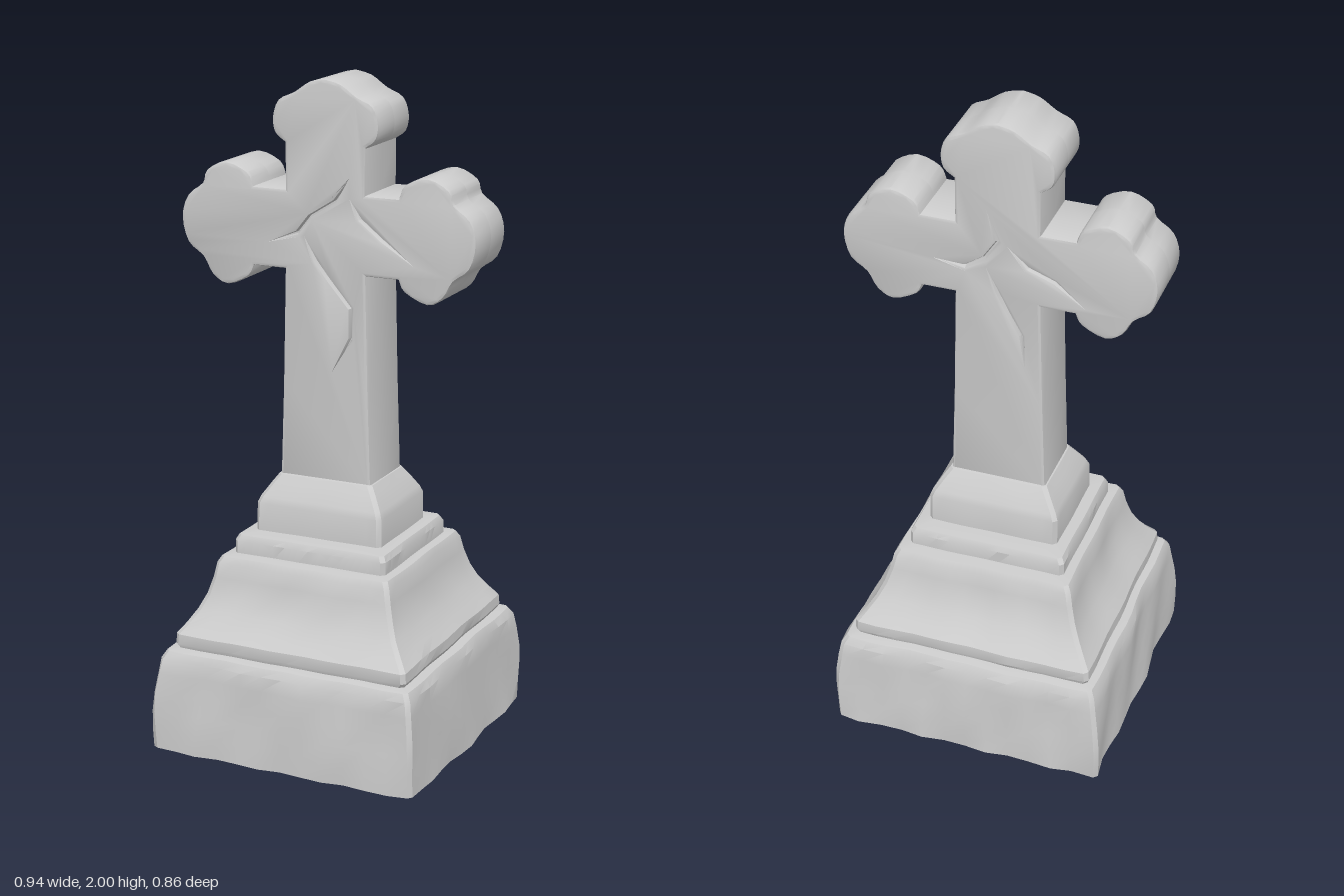
import * as THREE from 'three';
import { mergeVertices, toCreasedNormals } from 'three/addons/utils/BufferGeometryUtils.js';

const stone = new THREE.MeshStandardMaterial({ color: 0xcccccc });

function addMesh(parent, name, geometry, crease = 0.5) {
  const mesh = new THREE.Mesh(toCreasedNormals(geometry, crease), stone);
  mesh.name = name;
  parent.add(mesh);
  return mesh;
}

// Smooth repeatable waviness for hand-cut stone, between -1 and 1
const wave = (x, y, z) =>
  0.5 * Math.sin(13 * x + 9 * y + 1.3 + 2 * z) * Math.cos(11 * z - 7 * y) +
  0.5 * Math.sin(31 * x - 17 * y + 23 * z + 0.7);

// Rectangular ring with chamfered corners, each side split for the waviness
function ring(hx, hz, y, rough) {
  const c = 0.012, n = 12, pts = [];
  const sides = [
    [[-hx + c, hz], [hx - c, hz]], [[hx, hz - c], [hx, -hz + c]],
    [[hx - c, -hz], [-hx + c, -hz]], [[-hx, -hz + c], [-hx, hz - c]],
  ];
  for (const [a, b] of sides) {
    for (let i = 0; i <= n; i++) {
      const x = a[0] + (b[0] - a[0]) * i / n, z = a[1] + (b[1] - a[1]) * i / n;
      const k = 1 + rough * wave(x, y, z) / Math.max(hx, hz);
      pts.push([x * k, y, z * k]);
    }
  }
  return pts;
}

// Skin over a list of [half width, half depth, height, roughness] rings
function loft(profile) {
  const rings = profile.map((p) => ring(...p));
  const n = rings[0].length, pos = rings.flat(2), index = [];
  for (let r = 0; r < rings.length - 1; r++) {
    for (let i = 0; i < n; i++) {
      const a = r * n + i, b = r * n + (i + 1) % n;
      index.push(a, b, b + n, a, b + n, a + n);
    }
  }
  // End caps
  const last = (rings.length - 1) * n, centre = rings.length * n;
  pos.push(0, profile[0][2], 0, 0, profile[profile.length - 1][2], 0);
  for (let i = 0; i < n; i++) {
    const j = (i + 1) % n;
    index.push(centre, j, i, centre + 1, last + i, last + j);
  }
  const g = new THREE.BufferGeometry();
  g.setAttribute('position', new THREE.Float32BufferAttribute(pos, 3));
  g.setIndex(index);
  return mergeVertices(g);
}

// Right half of the cross from foot to apex, mirrored for the left
function crossShape(cracks) {
  const curve = (pts, n) => new THREE.SplineCurve(pts.map((p) => new THREE.Vector2(...p))).getPoints(n);
  const lobe = curve([[0.23, 1.44], [0.25, 1.405], [0.32, 1.375], [0.37, 1.4], [0.4, 1.45], [0.45, 1.49],
    [0.47, 1.565], [0.45, 1.63], [0.4, 1.67], [0.385, 1.71], [0.32, 1.74], [0.25, 1.715], [0.23, 1.675]], 36);
  const crown = curve([[0.128, 1.81], [0.16, 1.835], [0.168, 1.88], [0.15, 1.93], [0.1, 1.955], [0.05, 1.988], [0, 2]], 18);
  const half = [[0.148, 0.8], [0.138, 1.1], [0.13, 1.44]].map((p) => new THREE.Vector2(...p))
    .concat(lobe, [new THREE.Vector2(0.128, 1.675)], crown);
  const mirrored = half.slice(0, -1).reverse().map((p) => new THREE.Vector2(-p.x, p.y));
  const shape = new THREE.Shape([...half, ...mirrored]);
  for (const crack of cracks) shape.holes.push(crackPath(crack));
  return shape;
}

// Thin sliver with pointed ends that follows a line of points
function crackPath(points) {
  const line = points.map((p) => new THREE.Vector2(...p));
  const offset = (s) => line.slice(1, -1).map((p, i) => {
    const d = line[i + 2].clone().sub(line[i]).normalize();
    return new THREE.Vector2(p.x - d.y * s, p.y + d.x * s);
  });
  return new THREE.Path([line[0], ...offset(0.003), line[line.length - 1], ...offset(-0.003).reverse()]);
}

// Half thickness of the cross: flat at z = 0, bevelled on the outer face
function crossHalf(cracks) {
  const bevel = 0.01;
  const g = new THREE.ExtrudeGeometry(crossShape(cracks), {
    depth: 0.11 - bevel, bevelEnabled: true, bevelSize: bevel, bevelOffset: -bevel,
    bevelThickness: bevel, bevelSegments: 2,
  });
  const p = g.attributes.position;
  for (let i = 0; i < p.count; i++) p.setZ(i, Math.max(0, p.getZ(i)));
  return g;
}

export function createModel() {
  const model = new THREE.Group();
  model.name = 'stoneCrossMonument';

  // Rough square plinth block
  addMesh(model, 'plinthBlock', loft([
    [0.428, 0.425, 0, 0.012], [0.424, 0.424, 0.06, 0.01], [0.42, 0.42, 0.12, 0.01],
    [0.416, 0.416, 0.18, 0.01], [0.412, 0.412, 0.24, 0.009], [0.408, 0.408, 0.285, 0.008],
    [0.395, 0.395, 0.308, 0.006], [0.36, 0.36, 0.315, 0.002],
  ]));

  // Flared concave pedestal
  addMesh(model, 'flaredPedestal', loft([
    [0.368, 0.366, 0.31, 0.003], [0.376, 0.372, 0.325, 0.004], [0.374, 0.37, 0.355, 0.004],
    [0.35, 0.345, 0.385, 0.006], [0.322, 0.317, 0.425, 0.006], [0.3, 0.295, 0.47, 0.006],
    [0.287, 0.282, 0.52, 0.005], [0.28, 0.275, 0.565, 0.004], [0.27, 0.264, 0.583, 0.003],
    [0.235, 0.22, 0.588, 0.001],
  ]));

  // Narrow step
  addMesh(model, 'middleStep', loft([
    [0.245, 0.227, 0.58, 0.002], [0.245, 0.227, 0.625, 0.002],
    [0.236, 0.218, 0.642, 0.002], [0.19, 0.155, 0.648, 0],
  ]));

  // Collar that slopes in to the shaft
  addMesh(model, 'shaftCollar', loft([
    [0.204, 0.166, 0.64, 0.002], [0.203, 0.165, 0.73, 0.002], [0.195, 0.157, 0.75, 0.002],
    [0.168, 0.133, 0.792, 0.002], [0.152, 0.118, 0.815, 0.001], [0.14, 0.105, 0.818, 0],
  ]));

  // Trefoil cross, with its own cracks on each face
  const cross = new THREE.Group();
  cross.name = 'cross';
  model.add(cross);
  addMesh(cross, 'crossFront', crossHalf([
    [[-0.17, 1.52], [-0.09, 1.55], [-0.05, 1.6], [0.03, 1.65], [0.07, 1.71]],
    [[-0.06, 1.53], [-0.03, 1.47], [0.01, 1.42], [0.08, 1.34], [0.08, 1.25], [0.03, 1.16]],
    [[0.085, 1.65], [0.11, 1.605], [0.18, 1.55], [0.27, 1.49]],
  ]));
  addMesh(cross, 'crossBack', crossHalf([
    [[-0.18, 1.54], [-0.1, 1.53], [-0.04, 1.57], [0.0, 1.63], [-0.03, 1.72]],
    [[-0.03, 1.53], [0.0, 1.46], [0.03, 1.4], [0.07, 1.33], [0.08, 1.24]],
    [[0.04, 1.61], [0.09, 1.56], [0.17, 1.53], [0.25, 1.47]],
  ])).rotation.y = Math.PI;

  // Solid core that forms the floor of the cracks
  for (const [name, w, h, y] of [['shaftCore', 0.22, 0.95, 1.325], ['armCore', 0.7, 0.2, 1.56]]) {
    addMesh(cross, name, new THREE.BoxGeometry(w, h, 0.18)).position.y = y;
  }

  return model;
}
